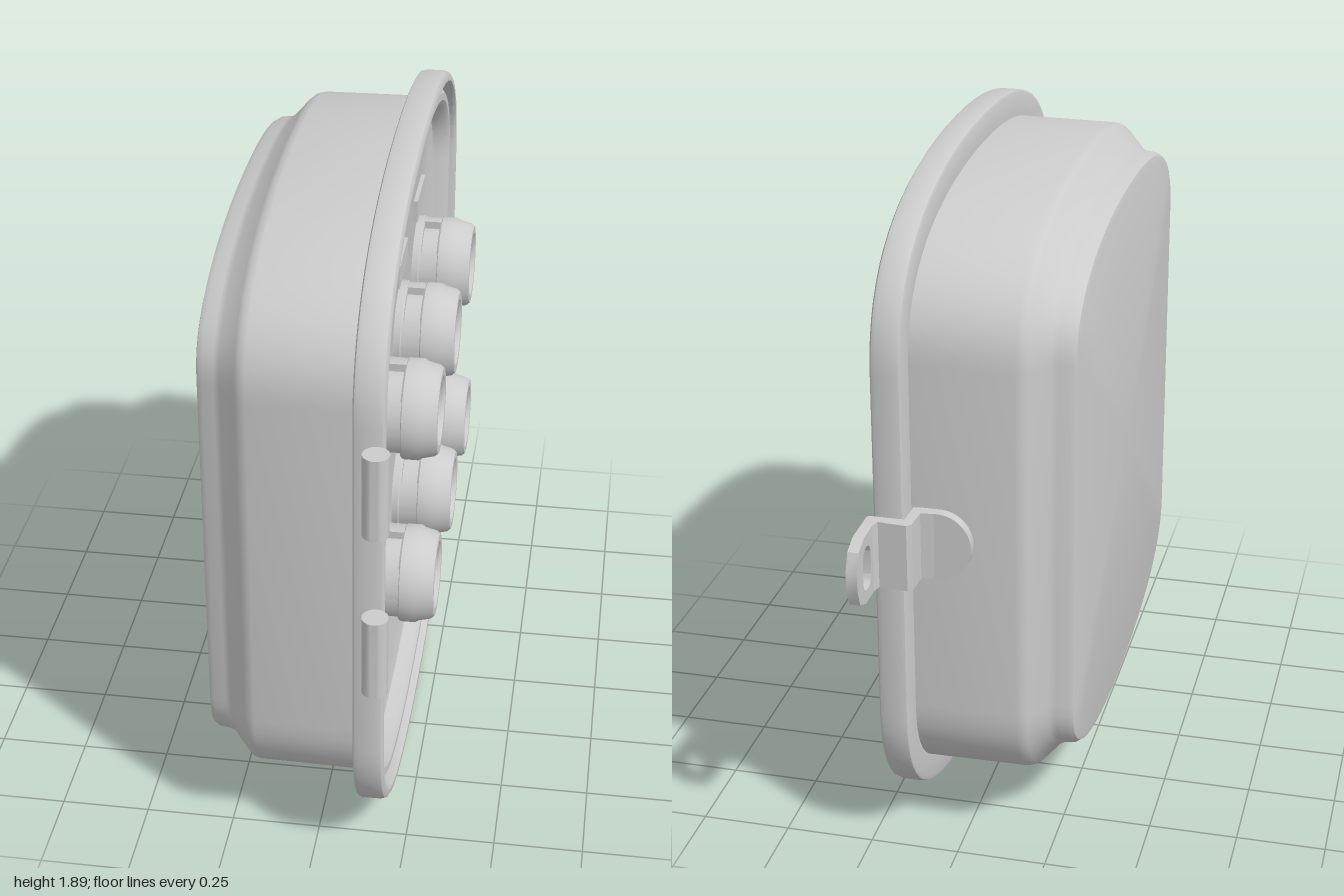
import * as THREE from 'three';
import { toCreasedNormals } from 'three/addons/utils/BufferGeometryUtils.js';

const CY = 0.945, CZ = 0.065; // centre of the housing
const PANEL_X = 0.13;

const material = new THREE.MeshStandardMaterial({ color: 0xcccccc });

function mesh(name, geometry, parent, crease = 0.6) {
  const m = new THREE.Mesh(toCreasedNormals(geometry, crease), material);
  m.name = name;
  parent.add(m);
  return m;
}

// Rounded outline with bulging top and bottom: points (z, y) with outward normals
function outline() {
  const corner = new THREE.CubicBezierCurve(
    new THREE.Vector2(0.865, 0.5), new THREE.Vector2(0.865, 0.77),
    new THREE.Vector2(0.62, 0.945), new THREE.Vector2(0, 0.945));
  const q = [];
  const n = 16;
  for (let i = 0; i <= n; i++) {
    const t = corner.getTangent(i / n);
    q.push({ p: corner.getPoint(i / n), n: new THREE.Vector2(t.y, -t.x) });
  }
  const flip = (list, sx, sy) => list.map(({ p, n }) => ({
    p: new THREE.Vector2(p.x * sx, p.y * sy), n: new THREE.Vector2(n.x * sx, n.y * sy) }));
  const rev = q.slice().reverse();
  return [...q, ...flip(rev.slice(1), -1, 1), ...flip(q, -1, -1), ...flip(rev.slice(1), 1, -1)];
}

// Sweeps a profile of [inset, x] around the outline; inset null closes at the centre
function sweep(profile) {
  const ring = outline(), m = ring.length, pos = [], index = [];
  for (const [inset, x] of profile) {
    for (const { p, n } of ring) {
      if (inset === null) pos.push(x, CY, CZ);
      else pos.push(x, CY + p.y - n.y * inset, CZ + p.x - n.x * inset);
    }
  }
  for (let k = 0; k < profile.length - 1; k++) {
    for (let i = 0; i < m; i++) {
      const j = (i + 1) % m, a = k * m + i, b = k * m + j;
      index.push(a, a + m, b, b, a + m, b + m);
    }
  }
  const g = new THREE.BufferGeometry();
  g.setAttribute('position', new THREE.Float32BufferAttribute(pos, 3));
  g.setIndex(index);
  return g;
}

// Lathe turned to point along +x
function turned(points, segments = 40) {
  return new THREE.LatheGeometry(points.map(([r, h]) => new THREE.Vector2(r, h)), segments)
    .rotateZ(-Math.PI / 2);
}

// Curved block following a ring, thick along +x
function arcBlock(r0, r1, start, end, depth) {
  const s = new THREE.Shape();
  s.absarc(0, 0, r1, start, end, false);
  s.absarc(0, 0, r0, end, start, true);
  return new THREE.ExtrudeGeometry(s, { depth, bevelEnabled: false, curveSegments: 8 })
    .rotateY(Math.PI / 2);
}

function createConnector() {
  const g = new THREE.Group();
  g.name = 'connector';
  mesh('connectorFlange', turned([[0, 0], [0.138, 0], [0.138, 0.018], [0.13, 0.024], [0.1, 0.024]]), g);
  mesh('connectorShell', turned([
    [0.112, 0.015], [0.112, 0.07], [0.132, 0.07], [0.136, 0.075], [0.136, 0.115], [0.13, 0.125],
    [0.122, 0.158], [0.114, 0.167], [0.094, 0.167], [0.087, 0.16], [0.082, 0.125], [0.068, 0.115],
    [0.064, 0.085], [0, 0.085]]), g);
  mesh('connectorPin', turned([
    [0.026, 0.08], [0.026, 0.12], [0.022, 0.125], [0.01, 0.125], [0.008, 0.105], [0, 0.105]], 20), g);
  // Bayonet lugs between flange and shell
  for (let i = 0; i < 3; i++) {
    const a = 0.4 + i * Math.PI * 2 / 3;
    mesh('bayonetLug', arcBlock(0.105, 0.134, a, a + 1.2, 0.055), g).position.x = 0.02;
  }
  return g;
}

function createLatch() {
  const g = new THREE.Group();
  g.name = 'latchBracket';
  const y0 = 0.86, y1 = 1.05, yc = (y0 + y1) / 2, h = y1 - y0;

  // Foot with a rounded end, lying on the side wall
  const foot = new THREE.Shape();
  foot.moveTo(0.1, y0);
  foot.lineTo(0.1, y1);
  foot.lineTo(0.04, y1);
  foot.absellipse(0.04, yc, 0.09, h / 2, Math.PI / 2, Math.PI * 1.5, false);
  mesh('latchFoot', new THREE.ExtrudeGeometry(foot, { depth: 0.03, bevelEnabled: false }), g)
    .position.z = -0.757;

  // Stepped strip around the rim, drawn in x and -z
  const strip = new THREE.Shape([
    [0.05, 0.73], [0.112, 0.73], [0.115, 0.806], [0.21, 0.806], [0.215, 0.815], [0.215, 0.86],
    [0.185, 0.86], [0.178, 0.836], [0.1, 0.842], [0.088, 0.832], [0.085, 0.762], [0.05, 0.757],
  ].map(([x, y]) => new THREE.Vector2(x, y)));
  mesh('latchStep', new THREE.ExtrudeGeometry(strip, { depth: h, bevelEnabled: false })
    .rotateX(-Math.PI / 2), g).position.y = y0;

  // Tab with an oval padlock hole, drawn in -z and y
  const tab = new THREE.Shape([
    [0.81, y0], [0.93, y0], [0.98, y0 + 0.02], [1, y0 + 0.07],
    [1, y1 - 0.07], [0.98, y1 - 0.02], [0.93, y1], [0.81, y1],
  ].map(([x, y]) => new THREE.Vector2(x, y)));
  const hole = new THREE.Path();
  hole.absarc(0.915, yc + 0.027, 0.034, 0, Math.PI, false);
  hole.absarc(0.915, yc - 0.027, 0.034, Math.PI, Math.PI * 2, false);
  tab.holes.push(hole);
  mesh('latchTab', new THREE.ExtrudeGeometry(tab, { depth: 0.03, bevelEnabled: false })
    .rotateY(Math.PI / 2), g).position.x = 0.185;
  return g;
}

export function createModel() {
  const model = new THREE.Group();
  model.name = 'connectorBox';

  // Housing: back, stepped shoulder, wall, rim, sealing bead and recessed panel
  mesh('housing', sweep([
    [null, -0.308], [0.19, -0.305], [0.17, -0.3], [0.16, -0.285], [0.157, -0.255], [0.148, -0.237],
    [0.095, -0.19], [0.085, -0.178], [0.08, -0.16], [0.077, 0.12],
    [0.012, 0.12], [0.003, 0.124], [0, 0.135], [0, 0.185], [0.004, 0.197], [0.014, 0.203],
    [0.028, 0.203], [0.034, 0.195], [0.036, 0.155], [0.048, 0.175], [0.065, 0.187], [0.085, 0.187],
    [0.102, 0.175], [0.114, 0.15], [0.12, 0.14], [0.16, PANEL_X], [null, PANEL_X],
  ]), model);

  // Two rows of three connectors, each with a label plate above
  for (const y of [0.725, 1.255]) {
    for (const z of [0.49, 0.055, -0.37]) {
      const c = createConnector();
      c.position.set(PANEL_X, y, z);
      model.add(c);
      mesh('labelPlate', new THREE.BoxGeometry(0.02, 0.065, 0.19), model)
        .position.set(PANEL_X + 0.002, y + 0.21, z + 0.005);
    }
  }

  // Hinge barrels along the left edge
  for (const y of [0.795, 1.285]) {
    mesh('hingeBarrel', new THREE.CylinderGeometry(0.035, 0.035, 0.235, 24), model)
      .position.set(0.185, y, 0.965);
  }

  model.add(createLatch());
  return model;
}
